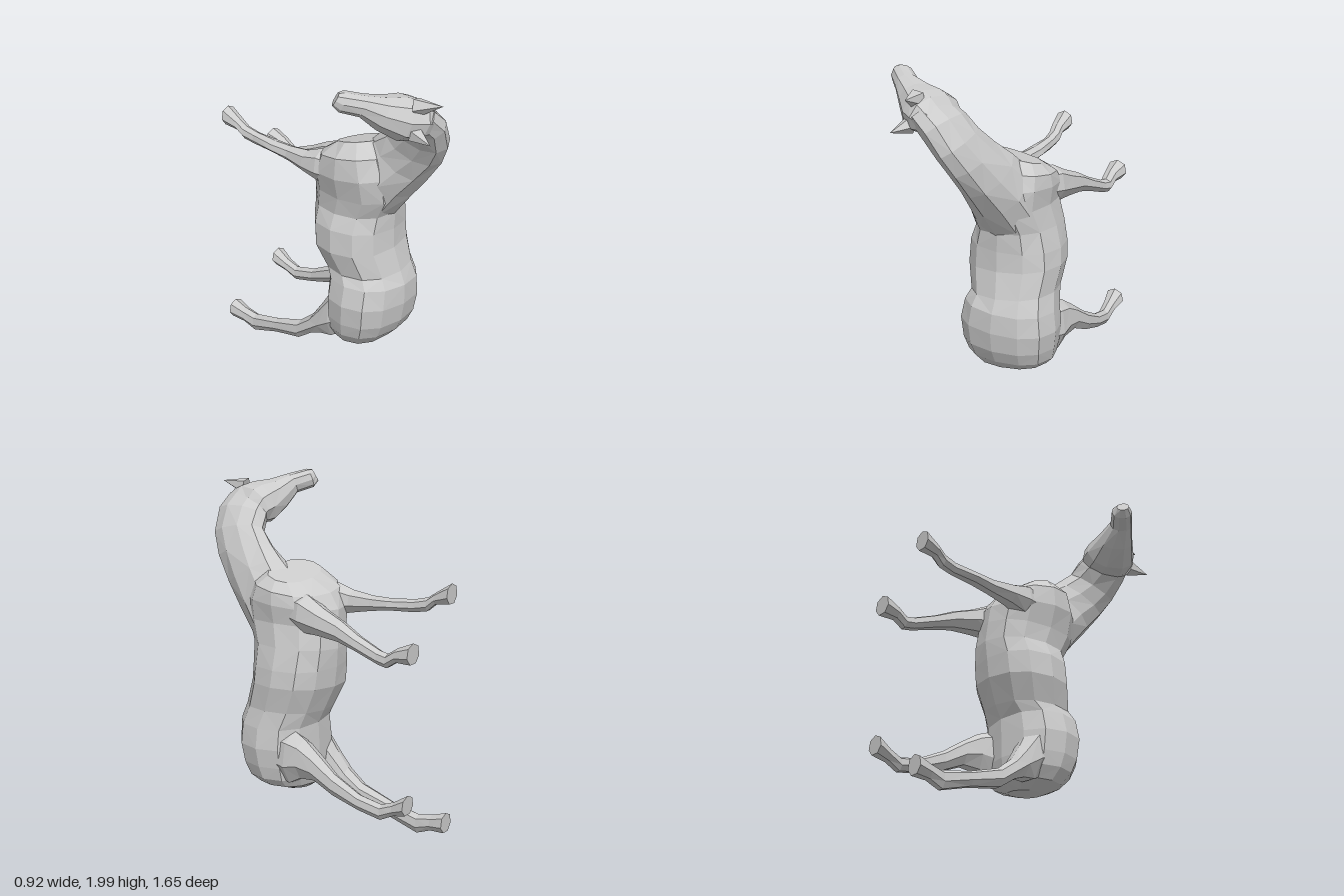
import * as THREE from 'three';

const material = new THREE.MeshStandardMaterial({ color: 0xcccccc, flatShading: true });

// Slightly squared circle: a power below 1 fills out the corners.
const squared = (s, power) => Math.sign(s) * Math.abs(s) ** power;

// Skin over rings given as [back point xyz, belly point xyz, half width].
// The far end is always closed; the start only when startCap is set.
function loft(name, rows, sides, power, startCap = false) {
  const rings = rows.map(([a, b, c, d, e, f, w]) => ({
    centre: new THREE.Vector3(a + d, b + e, c + f).multiplyScalar(0.5),
    v: new THREE.Vector3(a - d, b - e, c - f).multiplyScalar(0.5),
    w,
  }));
  const last = rings.length - 1;
  const pos = [];
  const index = [];
  rings.forEach((r, i) => {
    const t = rings[Math.min(i + 1, last)].centre.clone().sub(rings[Math.max(i - 1, 0)].centre);
    const u = t.cross(r.v).normalize().multiplyScalar(r.w);
    for (let k = 0; k < sides; k++) {
      const q = (k / sides) * Math.PI * 2;
      const p = r.centre.clone()
        .addScaledVector(r.v, squared(Math.cos(q), power))
        .addScaledVector(u, squared(Math.sin(q), power));
      pos.push(p.x, p.y, p.z);
    }
  });
  for (let k = 0; k < sides; k++) {
    const n = (k + 1) % sides;
    for (let i = 0; i < last; i++) {
      const a = i * sides + k, b = i * sides + n, c = b + sides, d = a + sides;
      if ((i + k) % 2) index.push(a, b, c, a, c, d);
      else index.push(a, b, d, b, c, d);
    }
    if (k > 0 && k < sides - 1) {
      index.push(last * sides, last * sides + k, last * sides + n);
      if (startCap) index.push(0, n, k);
    }
  }
  const g = new THREE.BufferGeometry();
  g.setAttribute('position', new THREE.Float32BufferAttribute(pos, 3));
  g.setIndex(index);
  g.computeVertexNormals();
  const mesh = new THREE.Mesh(g, material);
  mesh.name = name;
  return mesh;
}

// Torso ring: height, x range, z range, rise of the back side over the belly side.
const torsoRing = ([y, x0, x1, z0, z1, rise = 0]) => {
  const cx = (x0 + x1) / 2;
  return [cx, y + rise, z1, cx, y - rise, z0, (x1 - x0) / 2];
};

// Leg ring: z, lower y, upper y, centre x, half width.
const legRing = ([z, y0, y1, x, w]) => [x, y1, z, x, y0, z, w];

function ear(name, base, tip, radius) {
  const from = new THREE.Vector3(...base);
  const dir = new THREE.Vector3(...tip).sub(from);
  const g = new THREE.ConeGeometry(radius, dir.length(), 5);
  g.translate(0, dir.length() / 2, 0);
  const mesh = new THREE.Mesh(g, material);
  mesh.position.copy(from);
  mesh.quaternion.setFromUnitVectors(new THREE.Vector3(0, 1, 0), dir.normalize());
  mesh.name = name;
  return mesh;
}

export function createModel() {
  const model = new THREE.Group();
  model.name = 'horse';

  // Rump, barrel and chest
  model.add(loft('torso', [
    [0.20, 0.05, 0.27, 0.02, 0.2],
    [0.24, -0.06, 0.37, -0.04, 0.29],
    [0.30, -0.11, 0.42, -0.06, 0.35],
    [0.38, -0.13, 0.44, -0.07, 0.39],
    [0.50, -0.14, 0.455, -0.07, 0.41],
    [0.62, -0.11, 0.44, -0.07, 0.405],
    [0.70, -0.085, 0.42, -0.11, 0.37],
    [0.85, -0.13, 0.435, -0.175, 0.33],
    [0.97, -0.12, 0.425, -0.19, 0.325],
    [1.08, -0.08, 0.395, -0.2, 0.33],
    [1.20, -0.09, 0.37, -0.195, 0.39],
    [1.32, -0.125, 0.385, -0.185, 0.39, 0.02],
    [1.42, -0.115, 0.375, -0.13, 0.34, 0.03],
    [1.49, -0.04, 0.32, -0.01, 0.24, 0.025],
  ].map(torsoRing), 12, 0.87, true));

  // Neck, bending up and to one side
  model.add(loft('neck', [
    [0.15, 1.06, 0.32, 0.15, 1.34, 0.06, 0.2],
    [0.14, 1.22, 0.45, 0.15, 1.47, 0.13, 0.175],
    [0.13, 1.36, 0.57, 0.14, 1.55, 0.22, 0.135],
    [0.11, 1.5, 0.68, 0.1, 1.62, 0.32, 0.11],
    [0.065, 1.62, 0.75, 0.06, 1.7, 0.41, 0.1],
    [-0.01, 1.75, 0.78, 0.0, 1.76, 0.43, 0.1],
    [-0.1, 1.83, 0.77, -0.02, 1.78, 0.44, 0.09],
  ], 10, 0.95));

  // Head, turned to look sideways
  model.add(loft('head', [
    [-0.05, 1.8, 0.77, 0.0, 1.76, 0.45, 0.085],
    [-0.12, 1.82, 0.765, -0.03, 1.79, 0.43, 0.115],
    [-0.2, 1.83, 0.71, -0.08, 1.805, 0.42, 0.125],
    [-0.29, 1.87, 0.61, -0.18, 1.85, 0.42, 0.095],
    [-0.37, 1.92, 0.53, -0.29, 1.91, 0.42, 0.062],
    [-0.45, 1.945, 0.45, -0.37, 1.94, 0.355, 0.058],
    [-0.465, 1.96, 0.41, -0.41, 1.96, 0.36, 0.04],
  ], 10, 0.9));
  model.add(ear('leftEar', [-0.13, 1.9, 0.68], [-0.1, 1.93, 0.83], 0.055));
  model.add(ear('rightEar', [-0.16, 1.76, 0.7], [-0.2, 1.74, 0.83], 0.05));

  // Legs, from the body out to the hooves
  const legs = {
    rightFrontLeg: [
      [0.03, 1.22, 1.4, 0.0, 0.085], [-0.08, 1.22, 1.42, -0.02, 0.09],
      [-0.18, 1.25, 1.385, -0.03, 0.07], [-0.32, 1.28, 1.37, -0.025, 0.05],
      [-0.44, 1.3, 1.37, -0.025, 0.052], [-0.6, 1.31, 1.385, -0.025, 0.037],
      [-0.68, 1.325, 1.405, -0.03, 0.04], [-0.73, 1.37, 1.44, -0.035, 0.043],
      [-0.825, 1.38, 1.5, -0.035, 0.058],
    ],
    leftFrontLeg: [
      [0.03, 1.2, 1.4, 0.26, 0.085], [-0.08, 1.18, 1.4, 0.285, 0.095],
      [-0.2, 1.18, 1.34, 0.3, 0.08], [-0.33, 1.17, 1.29, 0.315, 0.06],
      [-0.45, 1.14, 1.23, 0.33, 0.05], [-0.6, 1.09, 1.17, 0.34, 0.04],
      [-0.66, 1.08, 1.16, 0.345, 0.042], [-0.72, 1.12, 1.2, 0.345, 0.045],
      [-0.815, 1.12, 1.24, 0.345, 0.064],
    ],
    leftHindLeg: [
      [0.08, 0.3, 0.6, 0.31, 0.1], [-0.02, 0.28, 0.6, 0.33, 0.1],
      [-0.1, 0.33, 0.57, 0.345, 0.08],
      [-0.2, 0.345, 0.505, 0.36, 0.063], [-0.33, 0.29, 0.415, 0.375, 0.048],
      [-0.5, 0.24, 0.33, 0.375, 0.038], [-0.64, 0.21, 0.3, 0.365, 0.037],
      [-0.72, 0.25, 0.33, 0.36, 0.042], [-0.805, 0.27, 0.385, 0.36, 0.06],
    ],
    rightHindLeg: [
      [0.1, 0.26, 0.58, 0.02, 0.1], [0.0, 0.2, 0.53, 0.0, 0.1],
      [-0.08, 0.195, 0.4, -0.015, 0.08],
      [-0.15, 0.17, 0.3, -0.025, 0.066], [-0.25, 0.1, 0.22, -0.03, 0.055],
      [-0.45, 0.06, 0.155, -0.03, 0.04], [-0.64, 0.0, 0.115, -0.03, 0.038],
      [-0.73, 0.035, 0.13, -0.035, 0.043], [-0.82, 0.04, 0.16, -0.035, 0.058],
    ],
  };
  for (const [name, rows] of Object.entries(legs)) {
    model.add(loft(name, rows.map(legRing), 7, 0.95));
  }
  return model;
}
